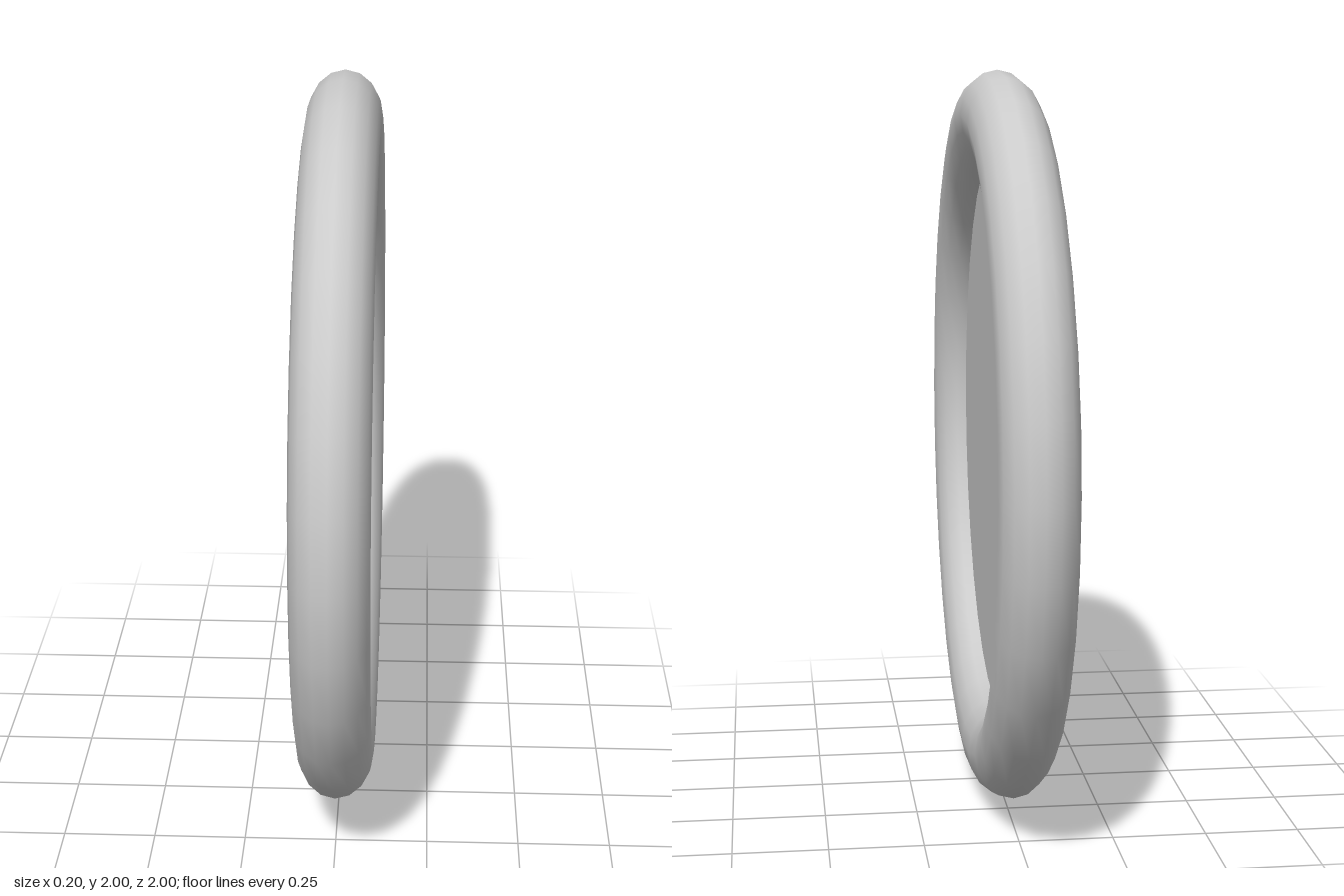
import * as THREE from 'three';

const SIDES = 32;
const RING_RADIUS = 0.88;
const TUBE_RADIUS = 0.12;
const HALF_WIDTH = 0.1;

export function createModel() {
  const model = new THREE.Group();
  model.name = 'rimmedDisc';
  const material = new THREE.MeshStandardMaterial({ color: 0xcccccc });

  // Rounded rim, slightly flattened along its axis and standing upright facing x
  const rimGeometry = new THREE.TorusGeometry(RING_RADIUS, TUBE_RADIUS, 16, SIDES);
  rimGeometry.scale(1, 1, HALF_WIDTH / TUBE_RADIUS);
  rimGeometry.rotateY(Math.PI / 2);
  const rim = new THREE.Mesh(rimGeometry, material);
  rim.name = 'rim';

  // Thin flat panel filling the rim, its edge tucked inside the tube
  const panelGeometry = new THREE.CylinderGeometry(0.78, 0.78, 0.02, SIDES);
  panelGeometry.rotateZ(Math.PI / 2);
  const panel = new THREE.Mesh(panelGeometry, material);
  panel.name = 'panel';

  for (const part of [rim, panel]) {
    part.position.y = 1;
    model.add(part);
  }
  return model;
}
